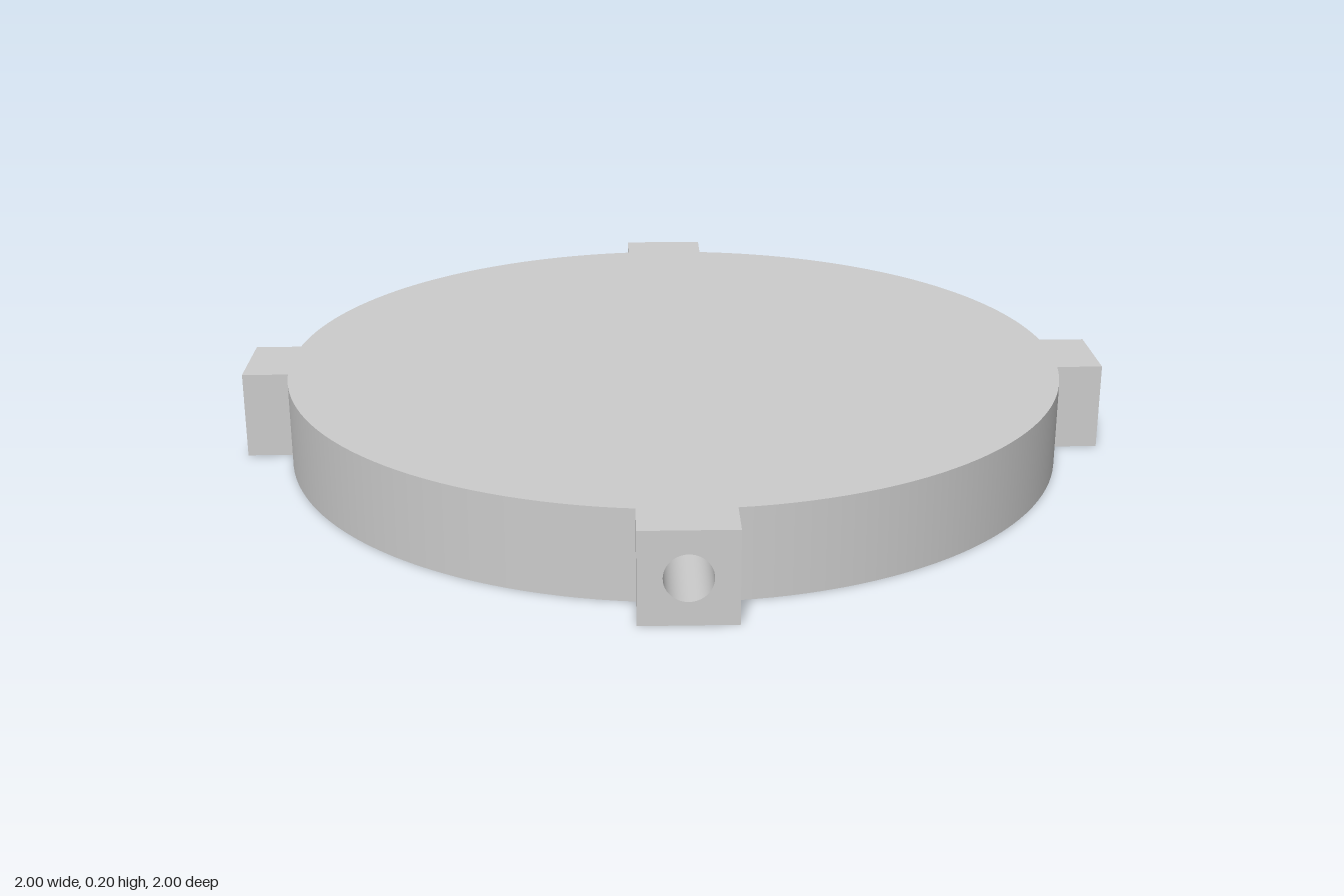
import * as THREE from 'three';

const R = 0.9, H = 0.2, LUG = 0.1, REACH = 1, BORE = 0.05;
const A = Math.asin(LUG / R);          // half angle a lug takes up on the rim
const ROOT = Math.sqrt(R * R - LUG * LUG); // where a lug leaves the rim
const QUARTER = Math.PI / 2;

// Plan outline: circle with four square lugs
function outline() {
  const s = new THREE.Shape();
  for (let k = 0; k < 4; k++) {
    const t = k * QUARTER;
    [-LUG, LUG].forEach((w, i) => {
      const p = new THREE.Vector2(REACH, w).rotateAround(new THREE.Vector2(), t);
      if (k === 0 && i === 0) s.moveTo(p.x, p.y); else s.lineTo(p.x, p.y);
    });
    s.absarc(0, 0, R, t + A, t + QUARTER - A, false);
  }
  return s;
}

// Inward-facing bore from the lug end to the centre, mitred where the bores cross
function boreGeometry() {
  const g = new THREE.CylinderGeometry(BORE, BORE, 1, 48, 1, true).rotateX(QUARTER);
  const p = g.attributes.position, n = g.attributes.normal;
  for (let i = 0; i < p.count; i++) {
    p.setZ(i, p.getZ(i) > 0 ? REACH : Math.abs(p.getX(i)));
    n.setXYZ(i, -n.getX(i), -n.getY(i), -n.getZ(i));
  }
  g.index.array.reverse();
  return g;
}

export function createModel() {
  const model = new THREE.Group();
  model.name = 'luggedDisc';
  const mat = new THREE.MeshStandardMaterial({ color: 0xcccccc });
  const add = (parent, name, geo, x = 0, y = 0, z = 0) => {
    const m = new THREE.Mesh(geo, mat);
    m.name = name;
    m.position.set(x, y, z);
    parent.add(m);
  };

  // Flat faces
  const shape = outline();
  add(model, 'topFace', new THREE.ShapeGeometry(shape, 16).rotateX(-QUARTER), 0, H, 0);
  add(model, 'bottomFace', new THREE.ShapeGeometry(shape, 16).rotateX(QUARTER));

  // Shared pieces of one quarter
  const rim = new THREE.CylinderGeometry(R, R, H, 32, 1, true, A, QUARTER - 2 * A);
  const cheek = new THREE.PlaneGeometry(REACH - ROOT, H);
  const end = new THREE.Shape([
    new THREE.Vector2(-LUG, -H / 2), new THREE.Vector2(LUG, -H / 2),
    new THREE.Vector2(LUG, H / 2), new THREE.Vector2(-LUG, H / 2)]);
  end.holes.push(new THREE.Path().absarc(0, 0, BORE, 0, Math.PI * 2, true));
  const endFace = new THREE.ShapeGeometry(end, 24);
  const bore = boreGeometry();

  // Four quarters: rim arc, lug and cross bore
  for (let k = 0; k < 4; k++) {
    const quarter = new THREE.Group();
    quarter.name = 'quarter' + (k + 1);
    quarter.rotation.y = k * QUARTER;
    add(quarter, 'rim', rim, 0, H / 2, 0);
    for (const s of [-1, 1]) {
      add(quarter, 'lugSide', cheek.clone().rotateY(s * QUARTER), s * LUG, H / 2, (ROOT + REACH) / 2);
    }
    add(quarter, 'lugEnd', endFace, 0, H / 2, REACH);
    add(quarter, 'bore', bore, 0, H / 2, 0);
    model.add(quarter);
  }
  return model;
}
